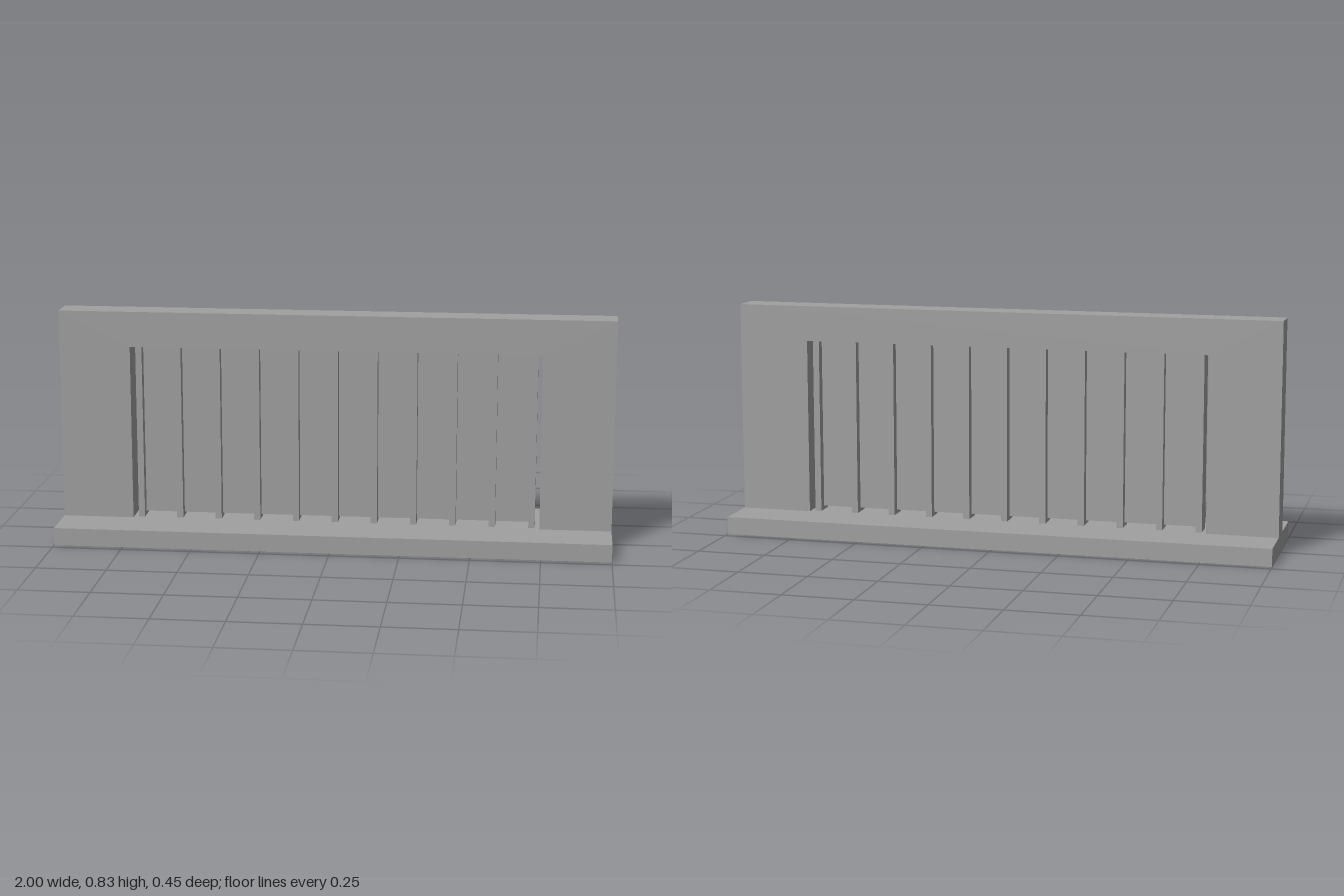
import * as THREE from 'three';

export function createModel() {
  const model = new THREE.Group();
  const grey = new THREE.MeshStandardMaterial({ color: 0xa0a0a0 });
  grey.name = 'plain grey';

  const BASE_TOP = 0.064, TOP = 0.83, WALL_DEPTH = 0.105;
  const OPEN_X = 0.742, OPEN_TOP = 0.702;

  const add = (name, geometry, x, y, z) => {
    const mesh = new THREE.Mesh(geometry, grey);
    mesh.name = name;
    mesh.position.set(x, y, z);
    model.add(mesh);
  };

  // Wide foot slab
  add('base', new THREE.BoxGeometry(2, BASE_TOP, 0.446), 0, BASE_TOP / 2, 0);

  // Wall with an opening that reaches down to the base
  const outline = [
    [-1, BASE_TOP], [-OPEN_X, BASE_TOP], [-OPEN_X, OPEN_TOP], [OPEN_X, OPEN_TOP],
    [OPEN_X, BASE_TOP], [1, BASE_TOP], [1, TOP], [-1, TOP],
  ];
  const wall = new THREE.Shape(outline.map(([x, y]) => new THREE.Vector2(x, y)));
  add('wall', new THREE.ExtrudeGeometry(wall, { depth: WALL_DEPTH, bevelEnabled: false }),
    0, 0, -WALL_DEPTH / 2);

  // Thin infill panel, held just clear of the base
  const panelBottom = 0.078;
  add('panel', new THREE.BoxGeometry(1.428, OPEN_TOP - panelBottom, 0.012),
    0, (OPEN_TOP + panelBottom) / 2, 0);

  // Eleven evenly spaced upright bars
  const barGeometry = new THREE.BoxGeometry(0.023, OPEN_TOP - BASE_TOP, 0.075);
  for (let i = -5; i <= 5; i++) {
    add('bar', barGeometry, i * 0.1427, (OPEN_TOP + BASE_TOP) / 2, 0);
  }

  return model;
}
